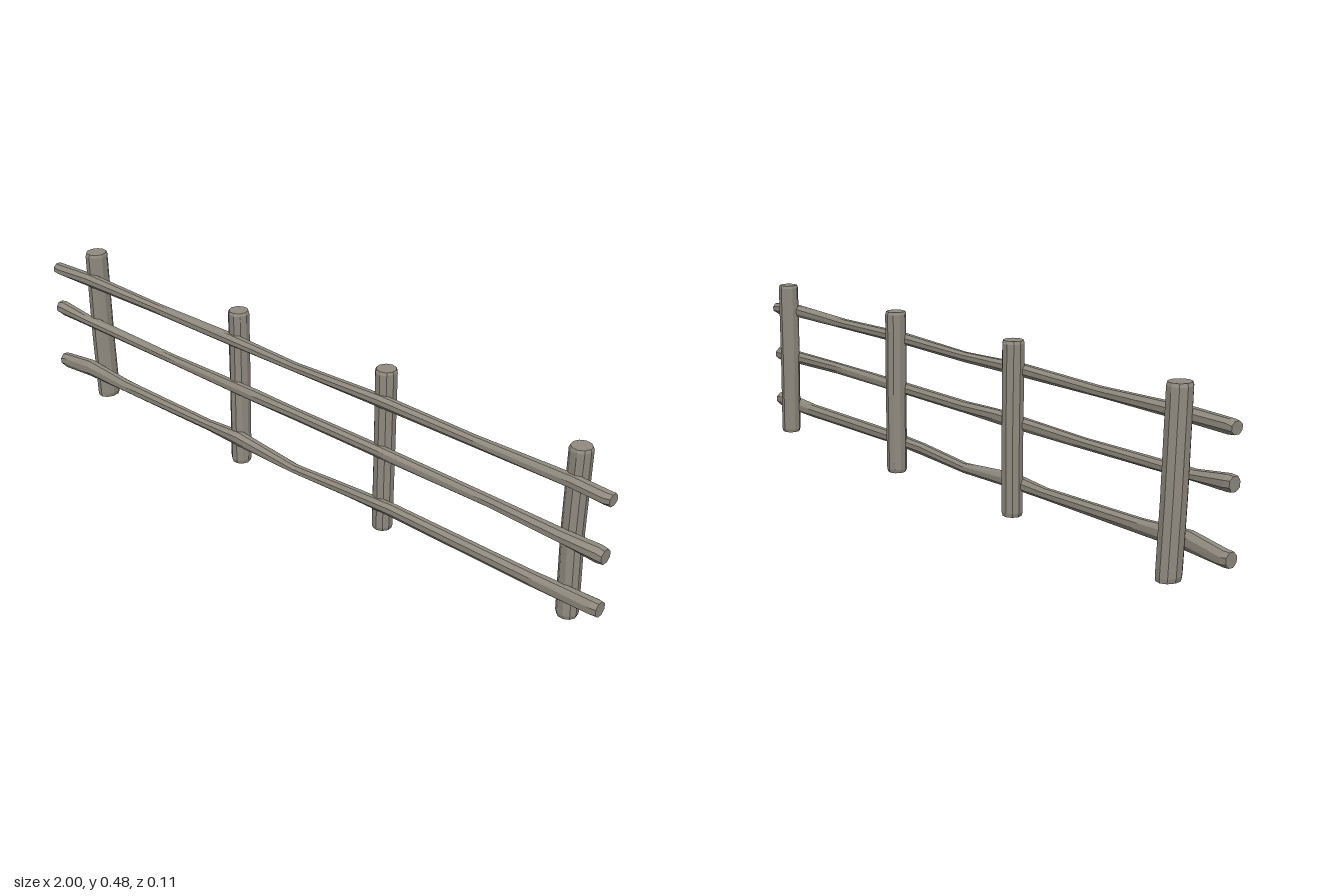
import * as THREE from 'three';

const wood = new THREE.MeshStandardMaterial({ color: 0x918b80, flatShading: true });
wood.name = 'weathered wood';

// Closed log: loops of points joined by side faces and capped at both ends
function loft(name, rings) {
  const n = rings[0].length, pos = [], index = [];
  rings.forEach(r => r.forEach(p => pos.push(...p)));
  for (let i = 0; i < rings.length - 1; i++) {
    for (let j = 0; j < n; j++) {
      const a = i * n + j, b = i * n + (j + 1) % n;
      index.push(a, b, a + n, b, b + n, a + n);
    }
  }
  const last = (rings.length - 1) * n;
  for (let j = 1; j < n - 1; j++) {
    index.push(0, j + 1, j);
    index.push(last, last + j, last + j + 1);
  }
  const g = new THREE.BufferGeometry();
  g.setAttribute('position', new THREE.Float32BufferAttribute(pos, 3));
  g.setIndex(index);
  const flat = g.toNonIndexed();
  flat.computeVertexNormals();
  const mesh = new THREE.Mesh(flat, wood);
  mesh.name = name;
  return mesh;
}

// Upright post; sections are [y, x, z, rx, rz]
function post(name, sections, phase) {
  const sides = 10;
  return loft(name, sections.map(([y, x, z, rx, rz]) =>
    Array.from({ length: sides }, (_, j) => {
      const a = phase + j / sides * Math.PI * 2;
      return [x + Math.sin(a) * rx, y, z + Math.cos(a) * rz];
    })));
}

// Hewn rail along x; sections are [x, bottom, top, z, half depth]
function rail(name, sections, phase) {
  const sides = 8;
  const [first, end] = [sections[0], sections[sections.length - 1]];
  // slightly chamfered ends
  const tip = ([x, lo, hi, z, d], s) => [x - s * 0.018, lo - 0.002, hi + 0.002, z, d + 0.001];
  const all = [first, tip(first, -1), ...sections.slice(1, -1), tip(end, 1), end];
  return loft(name, all.map(([x, lo, hi, z, d], i) =>
    Array.from({ length: sides }, (_, j) => {
      const a = (j + 0.5) / sides * Math.PI * 2 + Math.sin(i * 1.7 + phase) * 0.12;
      // squared-off round section
      const k = 1 / Math.pow(Math.abs(Math.cos(a)) ** 3 + Math.abs(Math.sin(a)) ** 3, 1 / 3);
      return [x, (lo + hi) / 2 + Math.cos(a) * k * (hi - lo) / 2, z + Math.sin(a) * k * d];
    })));
}

export function createModel() {
  const fence = new THREE.Group();
  fence.name = 'fence';

  // Three straight posts
  [[-0.238, 0.3], [0.295, 0.1], [0.887, 0.2]].forEach(([x, phase], i) => {
    const lean = i === 2 ? 0.003 : 0;
    fence.add(post('post' + (i + 2), [
      [0.002, x + lean, 0, 0.026, 0.026],
      [0.012, x + lean, 0, 0.029, 0.029],
      [0.24, x - lean, -0.001, 0.029, 0.03],
      [0.467, x, 0, 0.03, 0.03],
      [0.475, x, 0, 0.027, 0.027],
    ], phase));
  });

  // Leaning end post, thicker at the foot
  fence.add(post('leaningPost', [
    [0, -0.845, -0.02, 0.028, 0.034],
    [0.012, -0.845, -0.02, 0.031, 0.035],
    [0.2, -0.848, -0.014, 0.031, 0.035],
    [0.467, -0.85, -0.009, 0.032, 0.034],
    [0.476, -0.85, -0.009, 0.029, 0.031],
  ], 0.15));

  // Rails fixed to the front of the posts
  fence.add(rail('topRail', [
    [-1, 0.376, 0.408, 0.022, 0.018],
    [-0.85, 0.376, 0.414, 0.022, 0.018],
    [-0.55, 0.378, 0.406, 0.022, 0.015],
    [-0.24, 0.376, 0.41, 0.025, 0.017],
    [0, 0.374, 0.401, 0.024, 0.013],
    [0.3, 0.377, 0.41, 0.026, 0.016],
    [0.6, 0.375, 0.404, 0.026, 0.015],
    [0.89, 0.373, 0.409, 0.027, 0.018],
    [1, 0.369, 0.4, 0.026, 0.018],
  ], 0));
  fence.add(rail('middleRail', [
    [-1, 0.243, 0.281, 0.022, 0.018],
    [-0.88, 0.241, 0.27, 0.022, 0.017],
    [-0.5, 0.235, 0.263, 0.023, 0.014],
    [-0.15, 0.23, 0.268, 0.026, 0.016],
    [0, 0.231, 0.263, 0.026, 0.015],
    [0.3, 0.23, 0.263, 0.028, 0.016],
    [0.65, 0.228, 0.26, 0.03, 0.015],
    [0.88, 0.22, 0.256, 0.033, 0.019],
    [1, 0.215, 0.253, 0.034, 0.02],
  ], 1.5));
  fence.add(rail('bottomRail', [
    [-1, 0.063, 0.102, 0.022, 0.018],
    [-0.87, 0.068, 0.119, 0.023, 0.018],
    [-0.7, 0.068, 0.106, 0.023, 0.016],
    [-0.35, 0.068, 0.099, 0.022, 0.014],
    [-0.22, 0.066, 0.108, 0.024, 0.018],
    [0, 0.06, 0.087, 0.025, 0.014],
    [0.2, 0.067, 0.1, 0.027, 0.014],
    [0.35, 0.07, 0.105, 0.028, 0.016],
    [0.8, 0.061, 0.1, 0.031, 0.017],
    [1, 0.064, 0.104, 0.033, 0.02],
  ], 3));

  return fence;
}
